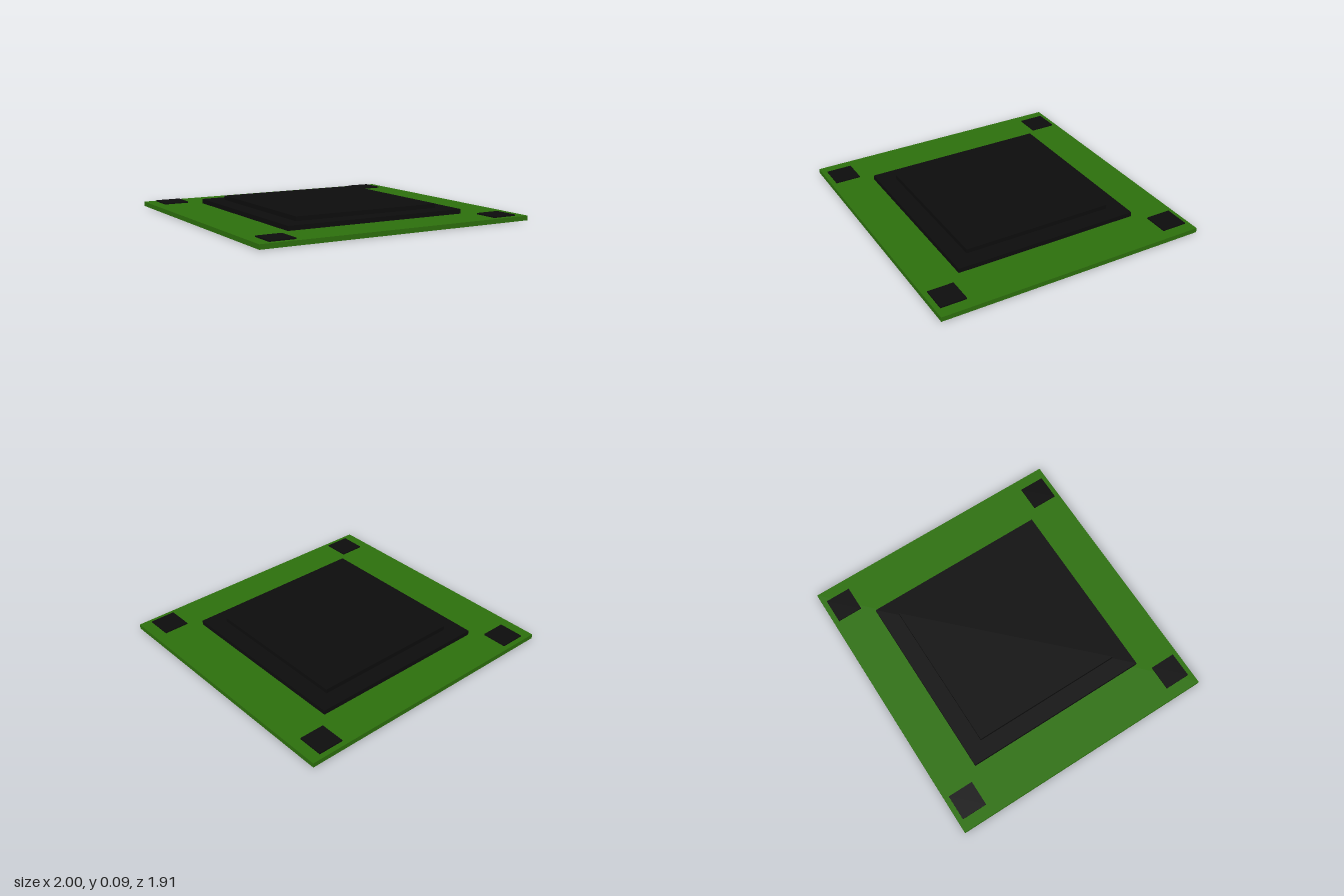
import * as THREE from 'three';

export function createModel() {
  const group = new THREE.Group();
  const boardGreen = new THREE.MeshStandardMaterial({ color: 0x2d700d });
  boardGreen.name = 'boardGreen';
  const chipBlack = new THREE.MeshStandardMaterial({ color: 0x0d0d0d });
  chipBlack.name = 'chipBlack';

  // Box of width w and depth d, spanning heights y0 to y1
  function slab(name, material, w, d, y0, y1, x = 0, z = 0) {
    const mesh = new THREE.Mesh(new THREE.BoxGeometry(w, y1 - y0, d), material);
    mesh.name = name;
    mesh.position.set(x, (y0 + y1) / 2, z);
    group.add(mesh);
  }

  // Circuit board
  const boardTop = 0.032;
  slab('board', boardGreen, 2, 1.91, 0, boardTop);

  // Stepped chip package
  slab('chipBase', chipBlack, 1.324, 1.324, boardTop, 0.064);
  slab('chipLid', chipBlack, 1.08, 1.08, 0.064, 0.095);

  // Corner pads
  for (const [side, sx] of [['Left', 1], ['Right', -1]]) {
    for (const [end, sz] of [['front', 1], ['back', -1]]) {
      slab(`${end}${side}Pad`, chipBlack, 0.178, 0.18, boardTop, 0.041, sx * 0.831, sz * 0.83);
    }
  }

  return group;
}
